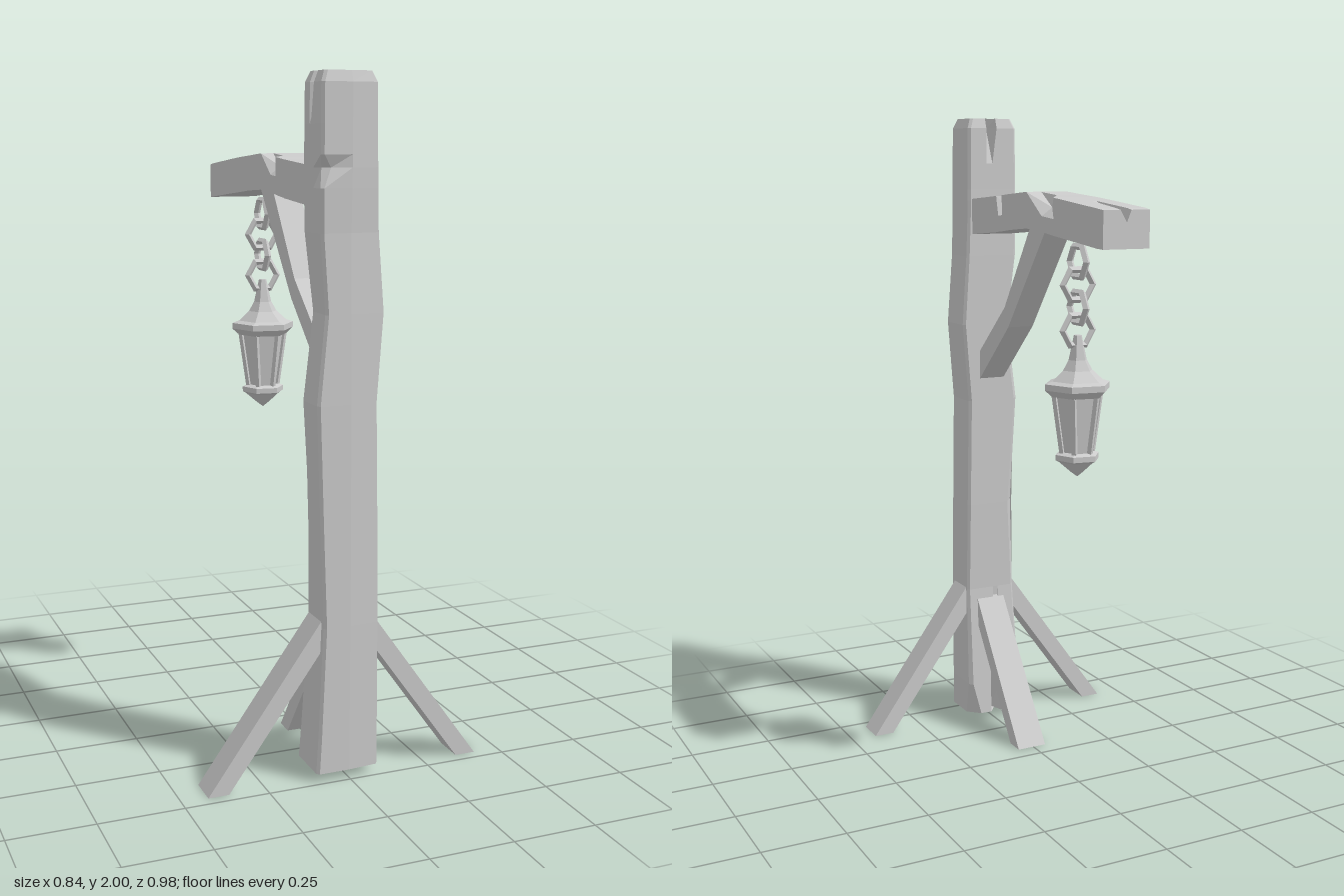
import * as THREE from 'three';

const wood = new THREE.MeshStandardMaterial({ color: 0xcccccc, flatShading: true });
const iron = new THREE.MeshStandardMaterial({ color: 0xcccccc, flatShading: true, side: THREE.DoubleSide });

function part(name, geometry, material = wood) {
  const mesh = new THREE.Mesh(geometry, material);
  mesh.name = name;
  return mesh;
}

// Skin a list of equal-length rings and close both ends with a fan.
function loft(rings) {
  const out = [];
  const n = rings[0].length;
  const tri = (...pts) => pts.forEach((p) => out.push(...p));
  for (let i = 0; i < rings.length - 1; i++) {
    for (let j = 0; j < n; j++) {
      const k = (j + 1) % n;
      const a = rings[i][j], b = rings[i][k], c = rings[i + 1][k], d = rings[i + 1][j];
      tri(a, b, c);
      tri(a, c, d);
    }
  }
  const middle = (ring) => [0, 1, 2].map((q) => ring.reduce((s, p) => s + p[q], 0) / n);
  const first = rings[0], last = rings[rings.length - 1];
  const m0 = middle(first), m1 = middle(last);
  for (let j = 0; j < n; j++) {
    const k = (j + 1) % n;
    tri(m0, first[k], first[j]);
    tri(m1, last[j], last[k]);
  }
  const g = new THREE.BufferGeometry();
  g.setAttribute('position', new THREE.Float32BufferAttribute(out, 3));
  g.computeVertexNormals();
  return g;
}

// Plank with a flat outline, centred through its thickness.
function plank(points, width) {
  const shape = new THREE.Shape(points.map(([x, y]) => new THREE.Vector2(x, y)));
  return new THREE.ExtrudeGeometry(shape, { depth: width, bevelEnabled: false }).translate(0, 0, -width / 2);
}

// Crooked upright; crack values push points into the wood.
function postGeometry() {
  // y, left x, right x, back z, front z, { back, side, notch, corner, chip }
  const rows = [
    [0.025, -0.1, 0.09, 0.34, 0.49, { back: 0.05, chip: 0.03 }],
    [0.13, -0.094, 0.09, 0.345, 0.49, { back: 0.04, chip: 0.004 }],
    [0.46, -0.08, 0.088, 0.362, 0.49, {}],
    [0.75, -0.09, 0.085, 0.355, 0.488, { corner: 0.025 }],
    [1.1, -0.1, 0.08, 0.35, 0.484, { corner: 0.012 }],
    [1.35, -0.075, 0.1, 0.347, 0.48, { corner: 0.02 }],
    [1.57, -0.088, 0.085, 0.346, 0.474, {}],
    [1.69, -0.09, 0.08, 0.346, 0.478, {}],
    [1.745, -0.09, 0.079, 0.346, 0.479, { notch: 0.025 }],
    [1.78, -0.09, 0.078, 0.347, 0.479, {}],
    [1.86, -0.09, 0.077, 0.347, 0.479, {}],
    [1.97, -0.089, 0.075, 0.348, 0.478, { back: 0.045, side: 0.028 }],
    [2.0, -0.077, 0.063, 0.358, 0.468, { back: 0.06, side: 0.035 }],
  ];
  return loft(rows.map(([y, l, r, b, f, o]) => {
    const { back = 0, side = 0, notch = 0, corner = 0, chip = 0 } = o;
    const bevel = 0.008;
    return [
      [r, y, f - bevel], [r, y, b + bevel + chip], [r - bevel - chip, y, b],
      [0.014, y, b], [-0.006, y, b + back], [-0.022, y, b],
      [l + bevel + corner, y, b], [l, y, b + bevel + corner * 1.6],
      [l, y, 0.392], [l + side, y, 0.402], [l, y, 0.42],
      [l + notch * 0.5, y, f - bevel - notch], [l + bevel + notch, y, f - notch * 0.6], [0, y, f],
    ];
  }));
}

// Arched beam running backward, with split edges and a cracked end.
function beamGeometry() {
  // z, bottom y, top y, right x, { left notch, right notch, middle crack }
  const rows = [
    [0.38, 1.637, 1.748, 0.067, {}],
    [0.172, 1.652, 1.762, 0.066, {}],
    [0.158, 1.654, 1.763, 0.066, { right: 0.045 }],
    [0.135, 1.656, 1.765, 0.065, {}],
    [0.1, 1.66, 1.768, 0.064, {}],
    [0.06, 1.664, 1.771, 0.062, { left: 0.03 }],
    [-0.02, 1.67, 1.777, 0.06, {}],
    [-0.125, 1.664, 1.769, 0.064, { right: 0.035 }],
    [-0.21, 1.656, 1.763, 0.07, {}],
    [-0.3, 1.648, 1.755, 0.073, {}],
    [-0.47, 1.632, 1.739, 0.076, { mid: 0.04 }],
    [-0.492, 1.63, 1.735, 0.07, { mid: 0.048 }],
  ];
  return loft(rows.map(([z, b, t, r, { left = 0, right = 0, mid = 0 }]) => {
    const l = -0.076;
    return [
      [r, b, z], [l, b, z], [l, t - 0.055, z],
      [l + left, t - left, z], [l + 0.04, t, z],
      [-0.018, t, z], [-0.004, t - mid, z], [0.016, t, z],
      [r - 0.05, t, z], [r - right, t - right, z], [r, t - 0.06, z],
    ];
  }));
}

// Thin square bar between two points.
function bar(name, a, b, radius) {
  const dir = b.clone().sub(a);
  const mesh = part(name, new THREE.CylinderGeometry(radius, radius, dir.length(), 4), iron);
  mesh.position.copy(a).add(b).multiplyScalar(0.5);
  mesh.quaternion.setFromUnitVectors(new THREE.Vector3(0, 1, 0), dir.normalize());
  return mesh;
}

// Six-sided solid of revolution with corners on the x axis.
function hexLathe(name, profile) {
  const pts = profile.map(([r, y]) => new THREE.Vector2(r, y));
  return part(name, new THREE.LatheGeometry(pts, 6, Math.PI / 2), iron);
}

function createLantern() {
  const lantern = new THREE.Group();
  lantern.name = 'lantern';
  lantern.add(hexLathe('lanternBase', [[0, 0.962], [0.02, 0.977], [0.056, 1.008], [0.067, 1.014], [0.067, 1.03], [0.05, 1.036], [0, 1.036]]));
  lantern.add(hexLathe('lanternPanes', [[0.043, 1.03], [0.067, 1.21]]));
  lantern.add(hexLathe('lanternRoof', [[0, 1.2], [0.078, 1.2], [0.1, 1.22], [0.1, 1.238], [0.078, 1.245],
    [0.045, 1.275], [0.028, 1.305], [0.018, 1.35], [0.012, 1.376], [0, 1.376]]));
  for (let i = 0; i < 6; i++) {
    const a = (i * Math.PI) / 3;
    const at = (r, y) => new THREE.Vector3(r * Math.cos(a), y, r * Math.sin(a));
    lantern.add(bar('lanternBar', at(0.046, 1.03), at(0.071, 1.205), 0.009));
  }
  lantern.rotation.y = -0.14;
  return lantern;
}

export function createModel() {
  const model = new THREE.Group();
  model.name = 'lanternPost';

  model.add(part('post', postGeometry()), part('beam', beamGeometry()));

  // Bent brace below the beam
  const brace = plank([[0.37, 1.155], [0.14, 1.36], [-0.115, 1.675], [-0.015, 1.68], [0.165, 1.42], [0.37, 1.245]].map(
    ([z, y]) => [z, y]), 0.085).rotateY(-Math.PI / 2);
  model.add(part('brace', brace));

  // Sloping props on both sides and at the back
  for (const s of [1, -1]) {
    const prop = plank([[0.36, 0], [0.422, 0], [0.06, 0.505], [0.06, 0.415]].map(([x, y]) => [s * x, y]), 0.092);
    model.add(part(s > 0 ? 'leftProp' : 'rightProp', prop.translate(0, 0, 0.421)));
  }
  const backProp = plank([[0.115, 0], [0.055, 0], [0.375, 0.445], [0.375, 0.36]], 0.096).rotateY(-Math.PI / 2);
  model.add(part('backProp', backProp.translate(0.005, 0, 0)));

  // Chain of alternating links and the lantern it carries
  const hanging = new THREE.Group();
  hanging.name = 'hangingLantern';
  for (let i = 0; i < 4; i++) {
    const link = part('chainLink', new THREE.TorusGeometry(0.049, 0.011, 4, 6), iron);
    link.position.y = 1.585 - i * 0.065;
    link.rotation.y = i % 2 ? 0 : Math.PI / 2;
    hanging.add(link);
  }
  hanging.add(createLantern());
  hanging.position.set(0.02, 0, -0.265);
  model.add(hanging);
  return model;
}
